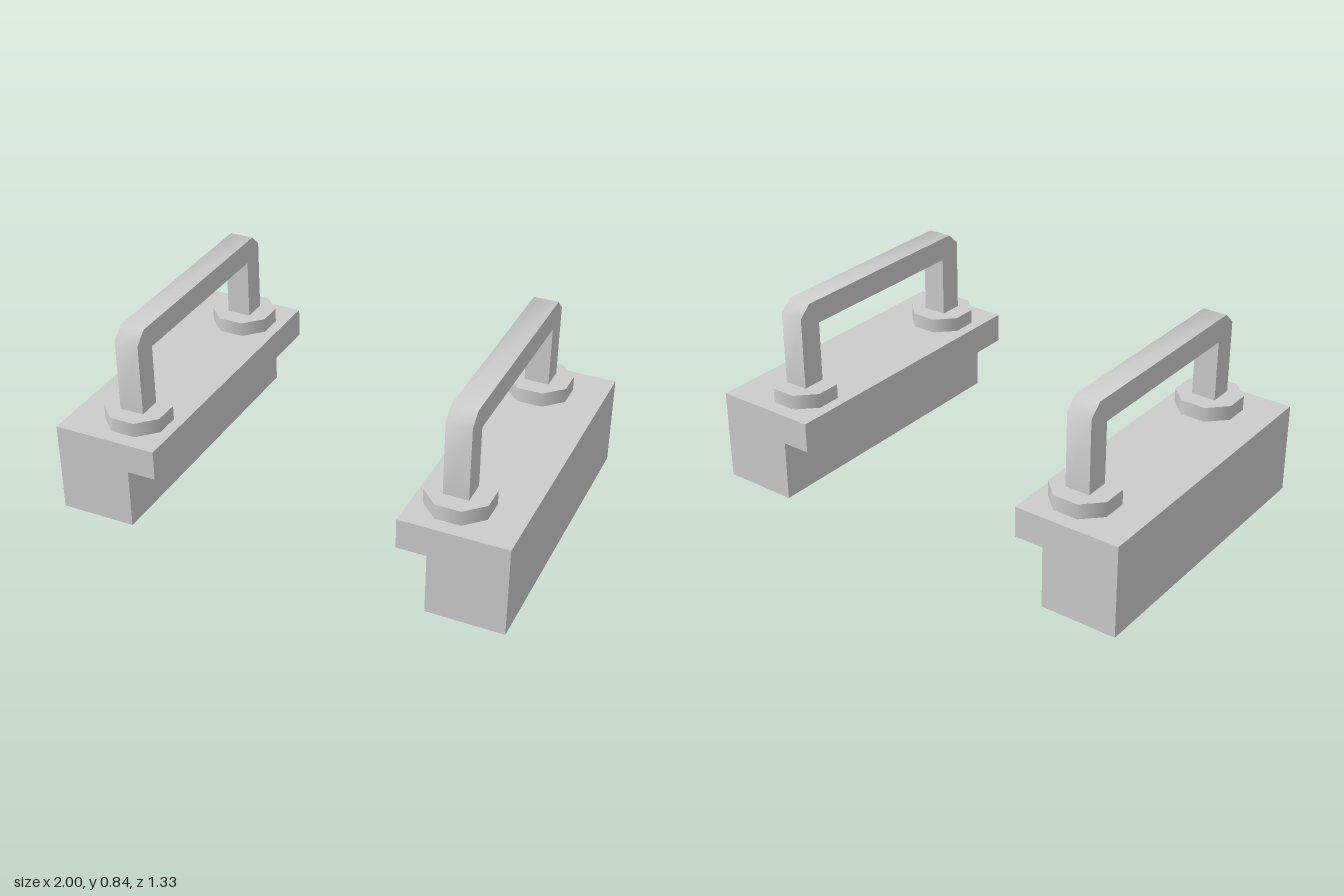
import * as THREE from 'three';
import { toCreasedNormals } from 'three/addons/utils/BufferGeometryUtils.js';

const material = new THREE.MeshStandardMaterial({ color: 0xcccccc });
const HANDLE_X = 0.72;

function part(name, geometry) {
  const mesh = new THREE.Mesh(geometry, material);
  mesh.name = name;
  return mesh;
}

// Extrudes an outline by depth, centred on its own z = 0
function extrude(points, depth) {
  const shape = new THREE.Shape(points.map(([x, y]) => new THREE.Vector2(x, y)));
  const geometry = new THREE.ExtrudeGeometry(shape, { depth, bevelEnabled: false });
  geometry.translate(0, 0, -depth / 2);
  return toCreasedNormals(geometry, 0.9);
}

function createBlock(side) {
  const group = new THREE.Group();

  // Long block with an overhanging inner lip
  const profile = [[0.665, 0], [1, 0], [1, 0.403], [0.537, 0.403], [0.537, 0.27], [0.665, 0.27]];
  group.add(part('block', extrude(profile.map(([x, y]) => [side * x, y]), 1.334)));

  // Octagonal collars under the handle legs
  for (const end of [-1, 1]) {
    const collar = part('collar', new THREE.CylinderGeometry(0.1445, 0.1445, 0.067, 8, 1, false, Math.PI / 8));
    collar.position.set(side * HANDLE_X, 0.4345, end * 0.467);
    group.add(collar);
  }

  // Square-section handle with chamfered outer corners
  const half = [[0.415, 0.737], [0.415, 0.45], [0.521, 0.45], [0.521, 0.79], [0.467, 0.841]];
  const outline = [...half, ...half.map(([z, y]) => [-z, y]).reverse()];
  const handle = part('handle', extrude(outline, 0.108).rotateY(Math.PI / 2));
  handle.position.x = side * HANDLE_X;
  group.add(handle);

  return group;
}

export function createModel() {
  const model = new THREE.Group();
  model.name = 'handledBlocks';
  for (const side of [1, -1]) {
    const block = createBlock(side);
    block.name = side > 0 ? 'leftBlock' : 'rightBlock';
    model.add(block);
  }
  return model;
}
